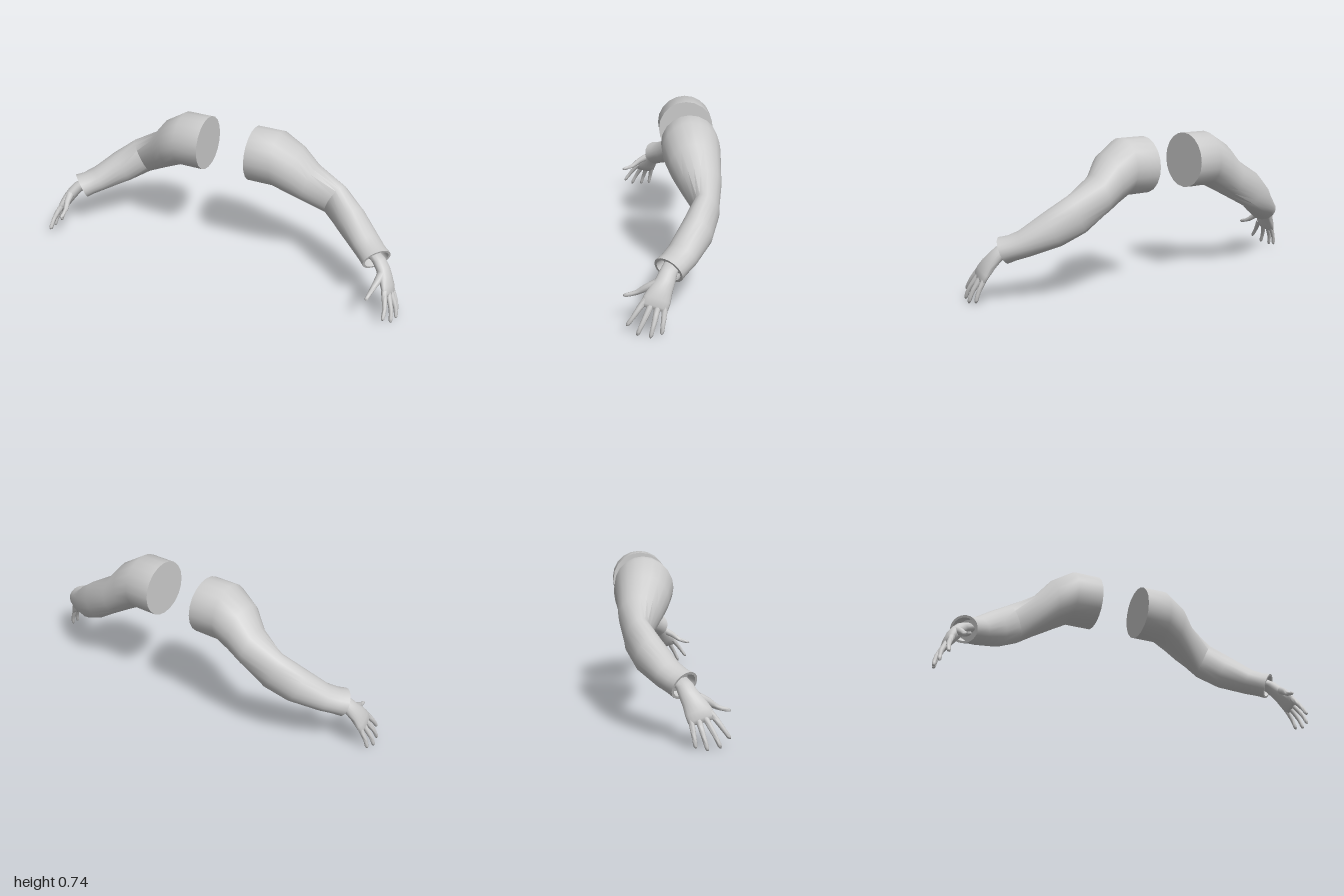
import * as THREE from 'three';
import { toCreasedNormals } from 'three/addons/utils/BufferGeometryUtils.js';

const V = (x, y, z) => new THREE.Vector3(x, y, z);
const material = new THREE.MeshStandardMaterial({ color: 0xcccccc });

// Skin a list of elliptical sections {c, A, B}, capped at both ends; side = -1 mirrors in x
function loft(sections, sides, side, crease) {
  const pos = [], idx = [];
  const n = sections.length;
  const put = p => pos.push(p.x * side, p.y, p.z);
  const tri = (a, b, c) => (side > 0 ? idx.push(a, b, c) : idx.push(a, c, b));
  for (const { c, A, B } of sections) {
    for (let j = 0; j < sides; j++) {
      const t = (j / sides) * Math.PI * 2;
      put(c.clone().addScaledVector(A, Math.cos(t)).addScaledVector(B, Math.sin(t)));
    }
  }
  put(sections[0].c);
  put(sections[n - 1].c);
  const start = n * sides, end = start + 1, last = (n - 1) * sides;
  for (let j = 0; j < sides; j++) {
    const k = (j + 1) % sides;
    for (let i = 0; i < n - 1; i++) {
      const a = i * sides, b = a + sides;
      tri(a + j, a + k, b + k);
      tri(a + j, b + k, b + j);
    }
    tri(start, k, j);
    tri(end, last + j, last + k);
  }
  const g = new THREE.BufferGeometry();
  g.setAttribute('position', new THREE.Float32BufferAttribute(pos, 3));
  g.setIndex(idx);
  return toCreasedNormals(g, crease);
}

// Sleeve section: centre, half width, half height, yaw towards +z and downward pitch in degrees
function sleeveSection([x, y, z, a, b, yaw, pitch]) {
  const w = THREE.MathUtils.degToRad(yaw), p = THREE.MathUtils.degToRad(pitch);
  const t = V(Math.cos(p) * Math.cos(w), -Math.sin(p), Math.cos(p) * Math.sin(w));
  const A = V(-Math.sin(w), 0, Math.cos(w));
  return { c: V(x, y, z), A: A.clone().multiplyScalar(a), B: t.cross(A).multiplyScalar(b) };
}

const SLEEVE = [
  [0.13, 0.605, -0.1, 0.14, 0.14, 0, 0],       // shoulder end
  [0.265, 0.605, -0.1, 0.14, 0.14, 0, 0],
  [0.355, 0.553, -0.112, 0.122, 0.126, -2, 10],
  [0.425, 0.49, -0.13, 0.1, 0.1, 2, 16],
  [0.555, 0.415, -0.148, 0.062, 0.098, 24, 24], // elbow
  [0.655, 0.35, -0.1, 0.075, 0.09, 34, 26],
  [0.765, 0.283, -0.025, 0.076, 0.066, 40, 25],
  [0.81, 0.262, 0.012, 0.074, 0.062, 42, 23],
  [0.842, 0.25, 0.038, 0.076, 0.066, 42, 22],   // cuff rim
  [0.842, 0.25, 0.038, 0.064, 0.055, 42, 22],
  [0.81, 0.262, 0.012, 0.058, 0.05, 42, 22],    // inside of the cuff
];

// Across the knuckles and along the hand
const ACROSS = V(-0.12, 0.2, 0.97).normalize();
const ALONG = V(0.42, -0.85, 0.3).normalize();

function frame(c, t, a, b) {
  const A = ACROSS.clone().addScaledVector(t, -ACROSS.dot(t)).normalize();
  const B = t.clone().cross(A);
  return { c, A: A.multiplyScalar(a), B: B.multiplyScalar(b) };
}

// Centre, half width, half thickness
const PALM = [
  [0.815, 0.268, 0.018, 0.036, 0.032],
  [0.852, 0.25, 0.036, 0.038, 0.032],
  [0.88, 0.22, 0.052, 0.043, 0.031],
  [0.902, 0.187, 0.073, 0.051, 0.029],
  [0.921, 0.153, 0.09, 0.06, 0.024],
  [0.933, 0.126, 0.101, 0.061, 0.018],
  [0.938, 0.113, 0.105, 0.052, 0.01],
];

// Path points and root radius for each digit
const DIGITS = {
  thumb: [[0.885, 0.21, 0.09], [0.878, 0.188, 0.135], [0.866, 0.16, 0.175], [0.858, 0.142, 0.235], 0.021],
  indexFinger: [[0.918, 0.152, 0.138], [0.93, 0.123, 0.162], [0.942, 0.084, 0.191], [0.945, 0.042, 0.222], 0.015],
  middleFinger: [[0.928, 0.14, 0.112], [0.945, 0.108, 0.129], [0.966, 0.06, 0.155], [0.974, 0.01, 0.178], 0.015],
  ringFinger: [[0.932, 0.132, 0.085], [0.952, 0.098, 0.095], [0.975, 0.052, 0.108], [0.986, 0.003, 0.122], 0.015],
  littleFinger: [[0.93, 0.134, 0.056], [0.946, 0.1, 0.06], [0.964, 0.06, 0.066], [0.975, 0.012, 0.073], 0.014],
};

// Tapered digit with a rounded tip
function digitSections(spec) {
  const root = spec[4];
  const curve = new THREE.CatmullRomCurve3(spec.slice(0, 4).map(p => V(...p)));
  const steps = [0, 0.15, 0.3, 0.45, 0.6, 0.75, 0.88, 0.95, 0.985, 1];
  return steps.map(u => {
    const round = u > 0.88 ? Math.sqrt(Math.max(0.06, 1 - ((u - 0.88) / 0.12) ** 2)) : 1;
    const r = THREE.MathUtils.lerp(root, 0.0095, Math.min(1, u * 1.3)) * round;
    const t = curve.getTangentAt(u);
    // The thumb runs along the knuckle line, so it takes its frame from the hand direction
    if (root > 0.02) {
      const A = ALONG.clone().addScaledVector(t, -ALONG.dot(t)).normalize();
      const B = t.clone().cross(A);
      return { c: curve.getPointAt(u), A: A.multiplyScalar(r), B: B.multiplyScalar(r) };
    }
    return frame(curve.getPointAt(u), t, r, r);
  });
}

function makeArm(side, name) {
  const arm = new THREE.Group();
  arm.name = name + 'Arm';
  const add = (part, geometry, parent) => {
    const mesh = new THREE.Mesh(geometry, material);
    mesh.name = part;
    parent.add(mesh);
  };
  add('sleeve', loft(SLEEVE.map(sleeveSection), 20, side, 0.7), arm);

  const hand = new THREE.Group();
  hand.name = name + 'Hand';
  const palm = PALM.map(([x, y, z, a, b]) => frame(V(x, y, z), ALONG, a, b));
  add('palm', loft(palm, 20, side, 1.2), hand);
  for (const [part, spec] of Object.entries(DIGITS)) {
    add(part, loft(digitSections(spec), 10, side, 1.2), hand);
  }
  arm.add(hand);
  return arm;
}

export function createModel() {
  const model = new THREE.Group();
  model.name = 'arms';
  model.add(makeArm(1, 'left'), makeArm(-1, 'right'));
  return model;
}
